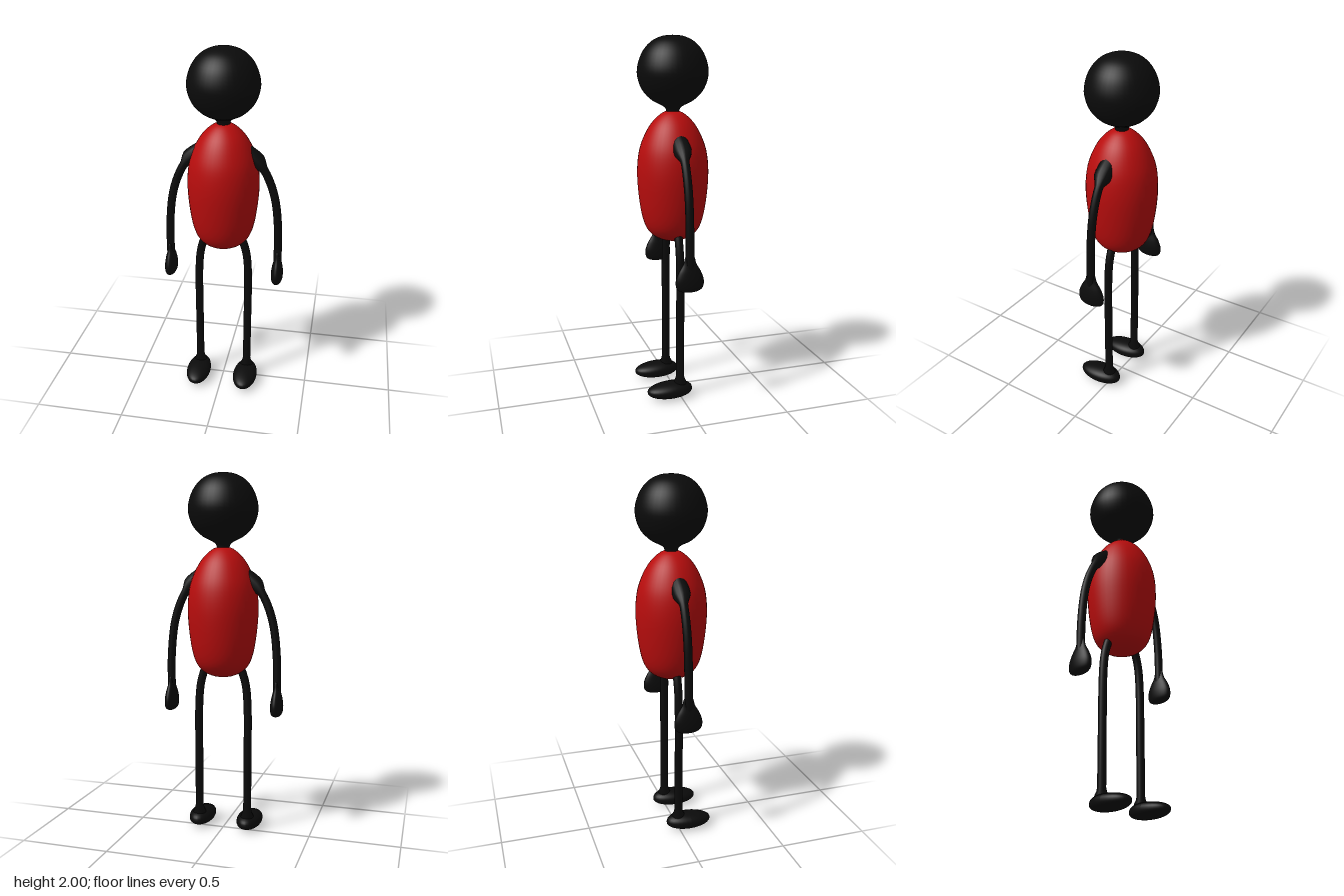
import * as THREE from 'three';

const black = new THREE.MeshStandardMaterial({ color: 0x0b0b0b });
const red = new THREE.MeshStandardMaterial({ color: 0xb80d0d });

const v2 = (pts) => pts.map(([x, y]) => new THREE.Vector2(x, y));

// Smooth solid of revolution through a few [radius, y] points
function turned(pts, segments = 40) {
  const curve = new THREE.SplineCurve(v2(pts));
  const profile = curve.getPoints(40).map((p) => p.setX(Math.max(p.x, 0)));
  return new THREE.LatheGeometry(profile, segments);
}

// Tube whose radius follows radiusAt(t) along the path
function limb(pts, radiusAt, steps = 48, sides = 16) {
  const curve = new THREE.CatmullRomCurve3(pts.map((p) => new THREE.Vector3(...p)));
  const geo = new THREE.TubeGeometry(curve, steps, 1, sides);
  const pos = geo.attributes.position;
  const v = new THREE.Vector3();
  for (let i = 0; i < pos.count; i++) {
    const t = Math.floor(i / (sides + 1)) / steps;
    const c = curve.getPointAt(t);
    v.fromBufferAttribute(pos, i).sub(c).multiplyScalar(radiusAt(t)).add(c);
    pos.setXYZ(i, v.x, v.y, v.z);
  }
  return geo;
}

function add(group, name, geo, mat) {
  const mesh = new THREE.Mesh(geo, mat);
  mesh.name = name;
  group.add(mesh);
  return mesh;
}

// Flat-soled oval foot, lower towards the toe
function footGeometry() {
  const geo = new THREE.SphereGeometry(1, 32, 24);
  const pos = geo.attributes.position;
  for (let i = 0; i < pos.count; i++) {
    const x = pos.getX(i), y = pos.getY(i), z = pos.getZ(i);
    const height = y > 0 ? 0.046 - 0.008 * z : 0.042;
    pos.setXYZ(i, x * 0.07, 0.046 + Math.sign(y) * Math.pow(Math.abs(y), 0.85) * height, 0.06 + z * 0.13);
  }
  geo.computeVertexNormals();
  return geo;
}

export function createModel() {
  const model = new THREE.Group();
  model.name = 'figure';

  // Egg-shaped torso
  add(model, 'torso', turned([
    [0, 0.89], [0.06, 0.897], [0.12, 0.93], [0.158, 0.99], [0.182, 1.1], [0.195, 1.25],
    [0.187, 1.37], [0.16, 1.46], [0.115, 1.54], [0.055, 1.595], [0, 1.61],
  ]), red);

  // Round head with the neck flaring out beneath it
  add(model, 'headAndNeck', turned([
    [0.036, 1.57], [0.036, 1.61], [0.055, 1.632], [0.115, 1.664], [0.168, 1.723], [0.191, 1.81],
    [0.168, 1.9], [0.12, 1.962], [0.06, 1.993], [0, 2.0],
  ]), black);

  for (const [side, s] of [['left', 1], ['right', -1]]) {
    // Arm, thick at the shoulder and slim below it
    add(model, side + 'Arm', limb(
      [[0.1, 1.46], [0.165, 1.415], [0.21, 1.37], [0.25, 1.295], [0.285, 1.18], [0.305, 1.0], [0.307, 0.8]]
        .map(([x, y]) => [x * s, y, 0]),
      (t) => 0.0225 + 0.026 * (1 - THREE.MathUtils.smoothstep(t, 0.13, 0.22)),
    ), black);

    // Flattened mitten hand
    const hand = add(model, side + 'Hand', turned([
      [0, 0.682], [0.045, 0.686], [0.072, 0.705], [0.077, 0.745], [0.062, 0.79],
      [0.036, 0.835], [0.024, 0.875], [0, 0.885],
    ], 32), black);
    hand.scale.x = 0.43;
    hand.position.x = 0.307 * s;

    // Leg, bowed at the hip and flaring at the ankle
    add(model, side + 'Leg', limb(
      [[0.08, 0.985], [0.108, 0.925], [0.13, 0.85], [0.141, 0.74], [0.143, 0.4], [0.142, 0.07]]
        .map(([x, y]) => [x * s, y, 0]),
      (t) => 0.0225 + 0.018 * THREE.MathUtils.smoothstep(t, 0.94, 1),
    ), black);

    add(model, side + 'Foot', footGeometry(), black).position.x = 0.142 * s;
  }
  return model;
}
